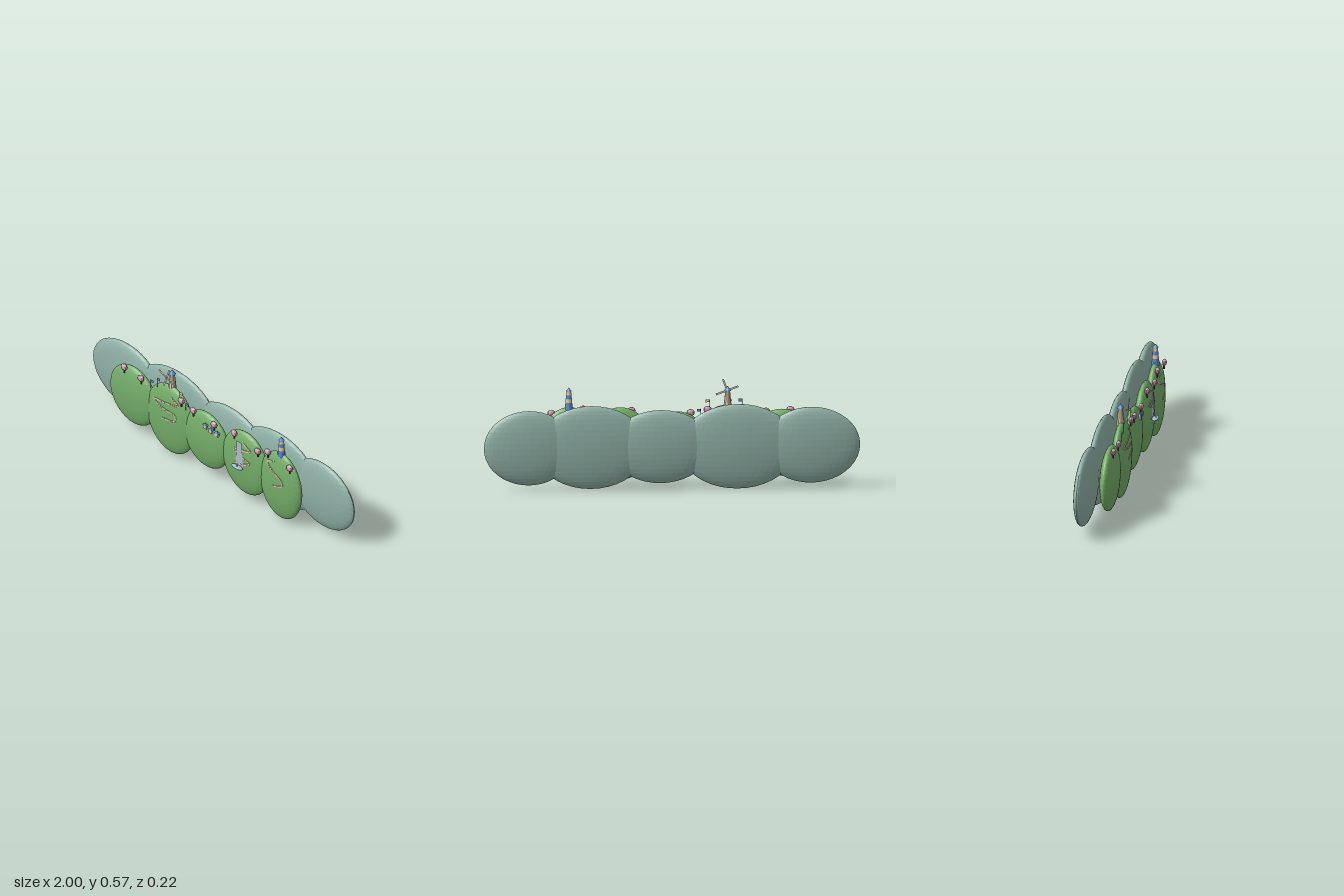
import * as THREE from 'three';

const mat = (name, color, opts = {}) => {
  const m = new THREE.MeshStandardMaterial({ color, ...opts });
  m.name = name;
  return m;
};
const flat = { flatShading: true };
const M = {
  farHill: mat('misty green', 0x8fb0a6, flat),
  hill: mat('grass green', 0x74ad69, flat),
  blossom: mat('blossom pink', 0xd3a0b5, flat),
  trunk: mat('bark brown', 0x5a3d2e),
  cream: mat('warm cream', 0xdcc8a8, flat),
  blue: mat('roof blue', 0x5a8cc4, flat),
  fall: mat('waterfall grey', 0xb4bcc8, { side: THREE.DoubleSide }),
  pool: mat('pool blue', 0x9dbdd6),
  dark: mat('dark iron', 0x3b3b40),
};

function add(parent, name, geo, material, x = 0, y = 0, z = 0) {
  const m = new THREE.Mesh(geo, material);
  m.name = name;
  m.position.set(x, y, z);
  parent.add(m);
  return m;
}
function group(parent, name, x = 0, y = 0, z = 0) {
  const g = new THREE.Group();
  g.name = name;
  g.position.set(x, y, z);
  parent.add(g);
  return g;
}

// Hills: centre x, bottom y, top y, half width
const DEPTH = 0.044, FRONT_Z = 0.032, BACK_Z = -0.064;
const farHills = [
  [-0.74, 0.03, 0.438, 0.26], [-0.35, 0.003, 0.458, 0.313], [0.06, 0.037, 0.43, 0.27],
  [0.43, 0.01, 0.456, 0.3], [0.76, 0.033, 0.433, 0.24],
];
const nearHills = [
  [-0.59, 0.053, 0.412, 0.175], [-0.305, 0.012, 0.44, 0.18], [-0.03, 0.06, 0.405, 0.167],
  [0.27, 0.04, 0.43, 0.172], [0.54, 0.02, 0.435, 0.155],
];

// Front surface point and normal of the near hills
function onHill(x, y) {
  let z = FRONT_Z;
  const normal = new THREE.Vector3(0, 0, 1);
  for (const [cx, y0, y1, rx] of nearHills) {
    const ry = (y1 - y0) / 2, u = (x - cx) / rx, v = (y - (y0 + y1) / 2) / ry;
    const k = 1 - u * u - v * v;
    if (k <= 0) continue;
    const hz = FRONT_Z + DEPTH * Math.sqrt(k);
    if (hz > z) {
      z = hz;
      normal.set(u / rx, v / ry, Math.sqrt(k) / DEPTH).normalize();
    }
  }
  return { z, normal };
}

function addTree(parent, x, y) {
  const g = group(parent, 'tree', x, y, 0.06);
  add(g, 'trunk', new THREE.CylinderGeometry(0.004, 0.005, 0.034, 6), M.trunk, 0, -0.02, -0.002);
  add(g, 'crown', new THREE.SphereGeometry(1, 10, 7), M.blossom).scale.set(0.022, 0.019, 0.013);
}

// Winding path of small stepping stones
function addPath(parent, pts) {
  const curve = new THREE.CatmullRomCurve3(pts.map(([x, y]) => new THREE.Vector3(x, y, 0)));
  const n = Math.round(curve.getLength() / 0.0135);
  const g = group(parent, 'path');
  const stone = new THREE.BoxGeometry(0.0125, 0.008, 0.005);
  for (let i = 0; i <= n; i++) {
    const p = curve.getPointAt(i / n), t = curve.getTangentAt(i / n);
    const { z, normal } = onHill(p.x, p.y);
    const s = add(g, 'pathStone', stone, M.cream, p.x, p.y, z);
    const along = t.addScaledVector(normal, -t.dot(normal)).normalize();
    const across = new THREE.Vector3().crossVectors(normal, along);
    s.quaternion.setFromRotationMatrix(new THREE.Matrix4().makeBasis(along, across, normal));
  }
}

function addFlag(parent, x, y0, y1, material) {
  const g = group(parent, 'flag', x, y0, 0.06);
  const h = y1 - y0;
  add(g, 'flagPole', new THREE.CylinderGeometry(0.0015, 0.0015, h, 6), M.dark, 0, h / 2, 0);
  add(g, 'flagCloth', new THREE.BoxGeometry(0.02, 0.014, 0.002), material, 0.011, h - 0.008, 0);
}

function addHouse(parent, x, y) {
  const g = group(parent, 'house', x, y, onHill(x, y).z + 0.002);
  add(g, 'walls', new THREE.BoxGeometry(0.024, 0.02, 0.014), M.cream);
  const roof = new THREE.ConeGeometry(0.5 * Math.SQRT2, 0.016, 4);
  roof.rotateY(Math.PI / 4);
  add(g, 'roof', roof, M.blue, 0, 0.018, 0).scale.set(0.034, 1, 0.018);
}

function addWindmill(parent) {
  const g = group(parent, 'windmill', -0.302, 0, 0.026);
  add(g, 'tower', new THREE.CylinderGeometry(0.013, 0.023, 0.1, 10), M.cream, 0, 0.467, 0);
  add(g, 'cap', new THREE.ConeGeometry(0.019, 0.026, 10), M.blue, 0, 0.528, 0);
  const rotor = group(g, 'rotor', 0, 0.508, 0.041);
  add(rotor, 'hub', new THREE.SphereGeometry(0.005, 10, 8), M.dark);
  for (let i = 0; i < 4; i++) {
    const arm = group(rotor, 'sail');
    arm.rotation.z = THREE.MathUtils.degToRad(70 + 90 * i);
    add(arm, 'blade', new THREE.BoxGeometry(0.06, 0.01, 0.002), M.cream, 0.033, 0, 0.001);
  }
}

function addLighthouse(parent) {
  const g = group(parent, 'lighthouse', 0.542, 0, 0.032);
  const bands = 5, h = 0.0205, bottom = 0.418;
  const radius = (i) => 0.022 - 0.0094 * (i / bands);
  for (let i = 0; i < bands; i++) {
    add(g, 'band', new THREE.CylinderGeometry(radius(i + 1), radius(i), h, 14),
      i % 2 ? M.blue : M.cream, 0, bottom + (i + 0.5) * h, 0);
  }
  // Lowest visible band wraps the base
  add(g, 'baseBand', new THREE.CylinderGeometry(0.0208, 0.0228, 0.02, 14), M.blue, 0, 0.431, 0);
  add(g, 'roof', new THREE.ConeGeometry(0.016, 0.02, 14), M.blue, 0, 0.53, 0);
}

function addWaterfall(parent) {
  const g = group(parent, 'waterfall', 0.264, 0, 0.078);
  const s = new THREE.Shape();
  s.moveTo(-0.027, 0.238);
  s.lineTo(0.03, 0.238);
  s.lineTo(0.02, 0.388);
  s.lineTo(-0.019, 0.388);
  add(g, 'fallingWater', new THREE.ShapeGeometry(s), M.fall);
  add(g, 'pool', new THREE.SphereGeometry(1, 24, 10), M.pool, 0, 0.231, 0.014).scale.set(0.04, 0.006, 0.017);
  add(g, 'splash', new THREE.CylinderGeometry(0.002, 0.003, 0.014, 6), M.pool, 0, 0.241, 0.016);
}

export function createModel() {
  const model = new THREE.Group();
  model.name = 'hillLandscape';

  const ball = new THREE.SphereGeometry(1, 40, 20);
  const addHills = (name, hills, material, z) => {
    const g = group(model, name);
    for (const [x, y0, y1, rx] of hills) {
      add(g, 'hill', ball, material, x, (y0 + y1) / 2, z).scale.set(rx, (y1 - y0) / 2, DEPTH);
    }
  };
  addHills('farHills', farHills, M.farHill, BACK_Z);
  addHills('nearHills', nearHills, M.hill, FRONT_Z);

  for (const [x, y] of [[-0.637, 0.402], [-0.508, 0.395], [-0.198, 0.408], [-0.107, 0.392],
    [0.053, 0.382], [0.207, 0.407], [0.388, 0.382], [0.465, 0.418], [0.633, 0.398]]) addTree(model, x, y);

  addPath(model, [[-0.27, 0.385], [-0.225, 0.36], [-0.31, 0.342], [-0.4, 0.325],
    [-0.34, 0.305], [-0.235, 0.293], [-0.235, 0.262], [-0.325, 0.24]]);
  addPath(model, [[0.285, 0.375], [0.335, 0.35], [0.275, 0.335], [0.215, 0.318],
    [0.275, 0.297], [0.335, 0.278], [0.3, 0.255], [0.235, 0.24]]);
  addPath(model, [[0.51, 0.38], [0.465, 0.357], [0.51, 0.325], [0.575, 0.295], [0.59, 0.265], [0.525, 0.235]]);

  addFlag(model, -0.432, 0.372, 0.428, M.blue);
  addFlag(model, -0.383, 0.405, 0.465, M.blue);
  addFlag(model, -0.208, 0.395, 0.462, M.cream);
  addFlag(model, -0.162, 0.365, 0.412, M.blue);

  for (const [x, y] of [[-0.005, 0.343], [0.035, 0.333], [0.075, 0.327]]) addHouse(model, x, y);

  addWindmill(model);
  addLighthouse(model);
  addWaterfall(model);
  return model;
}
